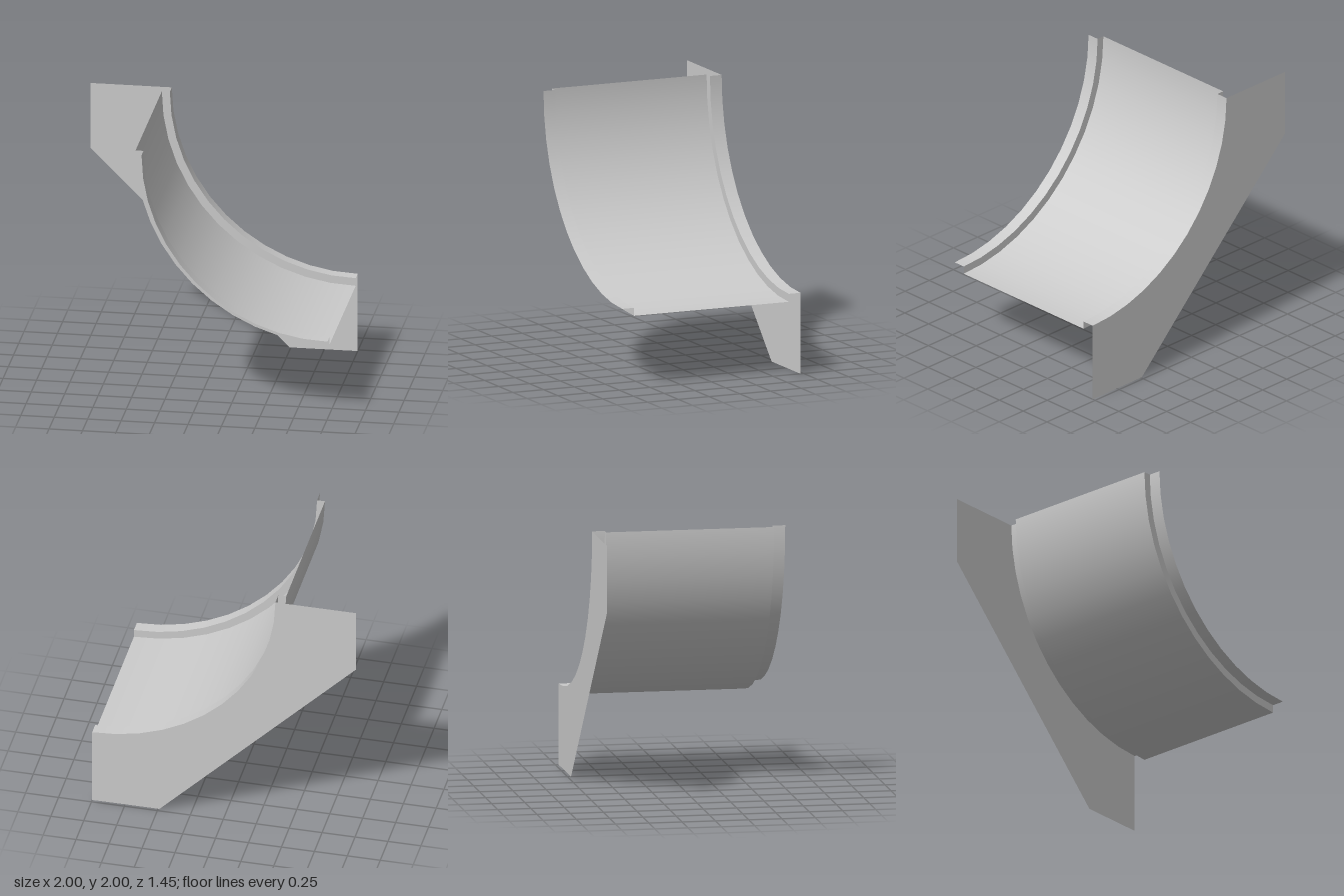
import * as THREE from 'three';

const SEGMENTS = 12;
const LIP_RADIUS = 1.39, CHANNEL_RADIUS = 1.45;
const HALF_DEPTH = 0.725, HALF_CHANNEL = 0.63;

const material = new THREE.MeshStandardMaterial({ color: 0xcccccc, side: THREE.DoubleSide });

export function createModel() {
  const model = new THREE.Group();
  model.name = 'quarterPipeSection';

  const add = (name, geometry, x, y, z) => {
    const mesh = new THREE.Mesh(geometry, material);
    mesh.name = name;
    mesh.position.set(x, y, z);
    model.add(mesh);
  };

  // Quarter-cylinder sheet around the axis x = 1, y = 2, spanning z0 to z1
  const addSheet = (name, radius, z0, z1) => {
    const geometry = new THREE.CylinderGeometry(
      radius, radius, z1 - z0, SEGMENTS, 1, true, -Math.PI / 2, Math.PI / 2);
    geometry.rotateX(Math.PI / 2);
    add(name, geometry, 1, 2, (z0 + z1) / 2);
  };

  // Curved channel and the raised lips along its edges
  addSheet('channel', CHANNEL_RADIUS, -HALF_CHANNEL, HALF_CHANNEL);
  addSheet('frontLip', LIP_RADIUS, HALF_CHANNEL, HALF_DEPTH);
  addSheet('backLip', LIP_RADIUS, -HALF_DEPTH, -HALF_CHANNEL);

  // Flat steps joining the channel to each lip
  for (const [name, side] of [['frontStep', 1], ['backStep', -1]]) {
    const ring = new THREE.RingGeometry(
      LIP_RADIUS, CHANNEL_RADIUS, SEGMENTS, 1, Math.PI, Math.PI / 2);
    add(name, ring, 1, 2, side * HALF_CHANNEL);
  }

  // Back plate: chamfered corner panel cut by the lip's arc
  const outline = [[-1, 2], [-1, 1.49], [0.49, 0], [1, 0]].map(p => new THREE.Vector2(...p));
  for (let i = 0; i <= SEGMENTS; i++) {
    const a = (Math.PI / 2) * (3 - i / SEGMENTS);
    outline.push(new THREE.Vector2(1 + LIP_RADIUS * Math.cos(a), 2 + LIP_RADIUS * Math.sin(a)));
  }
  add('backPlate', new THREE.ShapeGeometry(new THREE.Shape(outline)), 0, 0, -HALF_DEPTH);

  return model;
}
